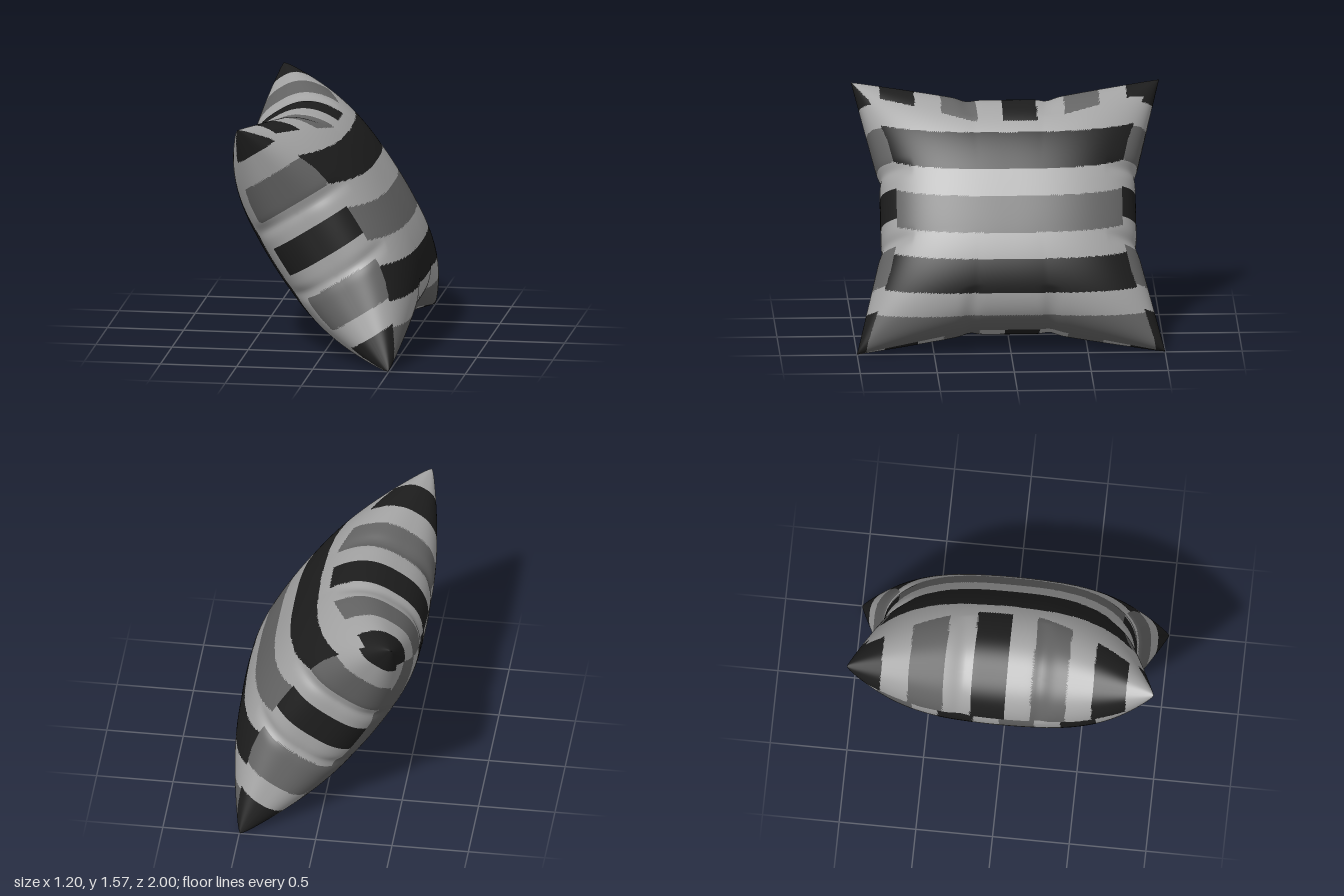
import * as THREE from 'three';

const STEPS = 180;
const D = new THREE.Vector3(-0.533, 0.846, 0); // up along the cushion
const N = new THREE.Vector3(0.846, 0.533, 0);  // out of the front cover
const CENTRE_Y = 0.79;

const materials = [['lightGrey', 0xa4a4a4], ['midGrey', 0x646464], ['charcoal', 0x1d1d1d]].map(([name, color]) => {
  const m = new THREE.MeshStandardMaterial({ color });
  m.name = name;
  return m;
});

// stripe lists: [from, to, material index]; anything else is light
const sideStripes = [[0.73, 2, 2], [0.3, 0.55, 1], [-0.095, 0.115, 2], [-0.535, -0.28, 1], [-2, -0.69, 2]];
const endStripes = [[-2, -0.78, 2], [-0.6, -0.37, 1], [-0.19, 0.03, 2], [0.2, 0.43, 1], [0.6, 0.82, 2]];
const frontStripes = [[1.18, 1.38, 2], [0.81, 1.025, 1], [0.43, 0.65, 2], [-1, 0.27, 1]];
const backStripes = [[0.4, 0.63, 2], [0, 0.23, 1], [-0.4, -0.17, 2], [-0.8, -0.57, 1]];

function stripe(list, t) {
  const hit = list.find(([a, b]) => t >= a && t < b);
  return hit ? hit[2] : 0;
}

const ramp = (t, a, b) => Math.min(1, Math.max(0, (t - a) / (b - a)));
const dome = (t, p) => Math.pow(Math.max(0, 1 - Math.pow(Math.abs(t), p)), 1 / p);
const pucker = (t) => Math.exp(-Math.pow((Math.abs(t) - 0.27) / 0.05, 2));

// cushion surface: edges curve in between the corners and pucker at the seam
function surface(u, v, side) {
  const au = Math.abs(u), av = Math.abs(v);
  const rimU = ramp(au, 0.75, 1), rimV = ramp(av, 0.75, 1);
  const z = u * (0.83 + 0.17 * ramp(av, 0.26, 1) - 0.008 * pucker(v) * rimU);
  const d = v * (0.77 + 0.158 * ramp(au, 0.24, 1) - 0.008 * pucker(u) * rimV);
  const dent = 1 - 0.12 * (pucker(v) * rimU + pucker(u) * rimV);
  const flatCorner = 1 - 0.4 * u * u * v * v;
  const n = side * 0.44 * dome(u, 2.8) * dome(v, 2.6) * dent * flatCorner;
  return { z, d, n };
}

// choose the fabric panel, then its stripe
function colourAt(u, v, side) {
  const { z, d, n } = surface(u, v, side);
  const au = Math.abs(u), av = Math.abs(v);
  const sideStart = 0.885 + 0.055 * ramp(av, 0.5, 0.95);
  const endStart = side > 0 ? 0.7 + 0.15 * ramp(au, 0.25, 0.85) : 0.8 + 0.06 * ramp(au, 0.55, 0.85);
  const inSide = au > sideStart;
  const inEnd = av > endStart && !(side > 0 && v < 0);
  if (inSide && (!inEnd || (1 - au) / 0.115 < (1 - av) / 0.26)) return stripe(sideStripes, d);
  if (inEnd) return stripe(endStripes, z);
  if (side > 0) return stripe(frontStripes, CENTRE_Y + D.y * d + N.y * n);
  return stripe(backStripes, z);
}

function cover(name, side) {
  const positions = [], faces = [[], [], []];
  // finer steps toward the seam, where the cover turns sharply
  const param = (i) => Math.sin((i / STEPS - 0.5) * Math.PI);
  const row = STEPS + 1;
  for (let i = 0; i <= STEPS; i++) {
    for (let j = 0; j <= STEPS; j++) {
      const { z, d, n } = surface(param(i), param(j), side);
      positions.push(D.x * d + N.x * n, CENTRE_Y + D.y * d + N.y * n, z);
    }
  }
  for (let i = 0; i < STEPS; i++) {
    for (let j = 0; j < STEPS; j++) {
      const a = i * row + j, b = a + 1, c = a + row, e = c + 1;
      const near = faces[colourAt(param(i + 1 / 3), param(j + 1 / 3), side)];
      const far = faces[colourAt(param(i + 2 / 3), param(j + 2 / 3), side)];
      if (side > 0) {
        near.push(a, b, c);
        far.push(b, e, c);
      } else {
        near.push(a, c, b);
        far.push(b, c, e);
      }
    }
  }
  const geometry = new THREE.BufferGeometry();
  geometry.setAttribute('position', new THREE.Float32BufferAttribute(positions, 3));
  geometry.setIndex(faces.flat());
  let start = 0;
  faces.forEach((list, m) => {
    geometry.addGroup(start, list.length, m);
    start += list.length;
  });
  geometry.computeVertexNormals();
  const mesh = new THREE.Mesh(geometry, materials);
  mesh.name = name;
  return mesh;
}

export function createModel() {
  const cushion = new THREE.Group();
  cushion.name = 'cushion';
  cushion.add(cover('frontCover', 1), cover('backCover', -1));
  return cushion;
}
